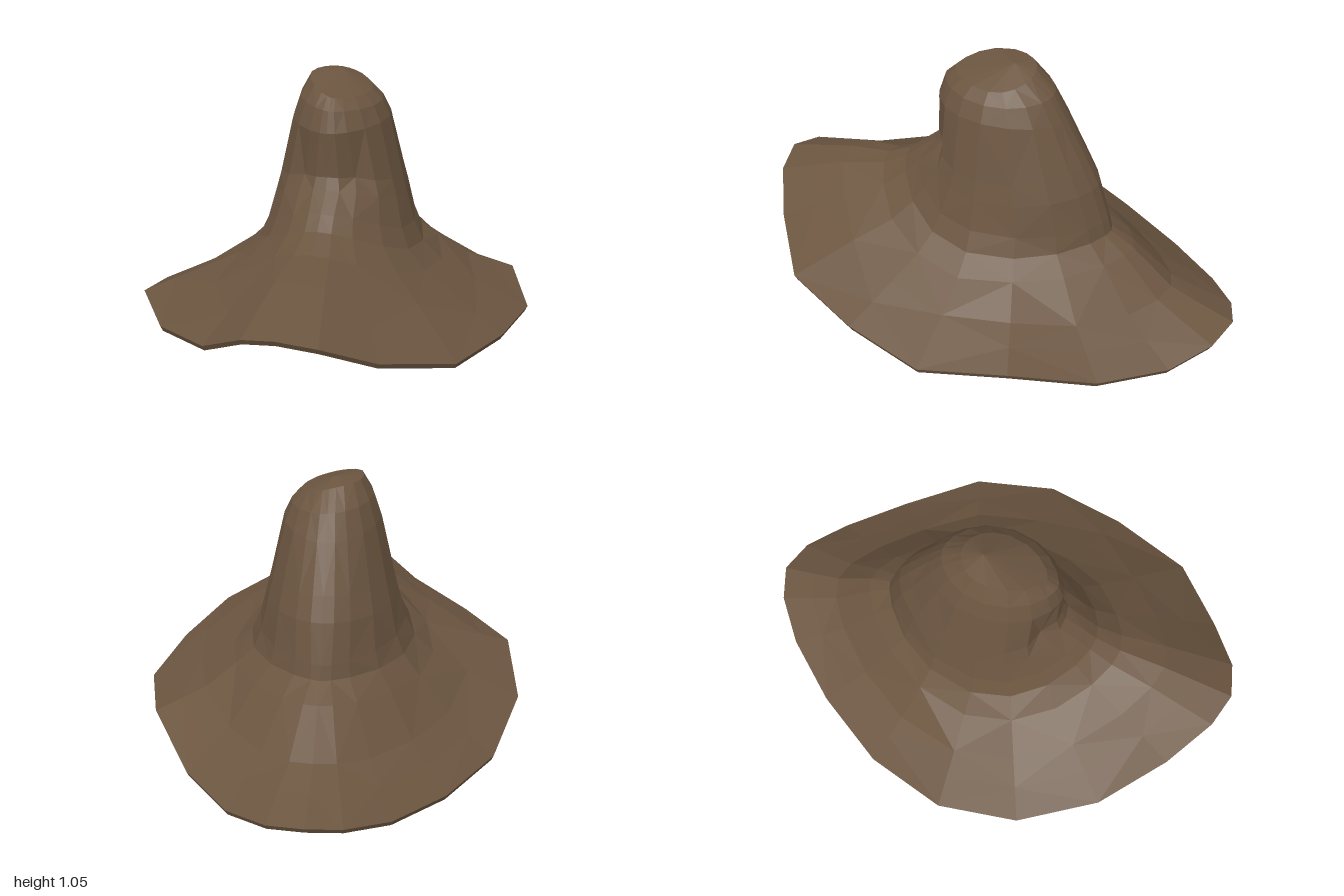
import * as THREE from 'three';

// Brim edge, counter-clockwise from the front centre: x, y, z
const RIM = [
  [0, .387, 1], [.14, .358, .97], [.32, .268, .86], [.56, .192, .66], [.69, .155, .33],
  [.76, .125, 0], [.67, .15, -.33], [.49, .065, -.62], [.30, .055, -.84], [.14, .09, -.96],
  [0, .112, -1], [-.13, .09, -.96], [-.29, .05, -.84], [-.48, .022, -.62], [-.66, .022, -.33],
  [-.765, .1, .01], [-.73, .193, .34], [-.55, .198, .63], [-.31, .252, .84], [-.13, .358, .96],
];
const N = RIM.length;
const QUARTER = [0, 12, 26, 46, 67];
const ANGLES = [0, 1, 2, 3].flatMap((q) => QUARTER.map((_, i) => {
  const d = q % 2 === 0 ? QUARTER[i] : (i === 0 ? 0 : 90 - QUARTER[5 - i]);
  return THREE.MathUtils.degToRad(q * 90 + d);
}));

// Crown rings from foot to top: half width, front z, back z, y at front, side, back,
// sideways lean, pointedness at front and back
const CROWN = [
  [.332, .415, .475, .54, .37, .395, 0, 1.2, 1.4],
  [.295, .36, .46, .59, .45, .45, 0, 1.15, 1.3],
  [.263, .28, .41, .655, .57, .60, 0, 1.05, 1.15],
  [.243, .26, .365, .70, .65, .69, 0, 1.1, 1.15],
  [.19, .26, .27, .87, .88, .86, 0, 1.2, 1.1],
  [.16, .235, .215, .95, .955, .955, .08, 1.3, 1.1],
  [.12, .19, .135, .99, 1.01, 1.025, .24, 1.3, 1],
];
const PANEL = 3; // ring along the foot of the front dent

function crownRing([w, front, back, yFront, ySide, yBack, lean, pointF, pointB], ring) {
  return ANGLES.map((a, j) => {
    const s = Math.sin(a), c = Math.cos(a);
    const x = Math.sign(s) * w * Math.abs(s) ** (c > 0 ? pointF : pointB);
    const y = ySide + ((c > 0 ? yFront : yBack) - ySide) * c * c;
    const dent = ring === PANEL && (j === 2 || j === N - 2) ? .025 : 0;
    return [x, y - x * lean, c * (c > 0 ? front : back) - dent];
  });
}

// Ring between rim and crown foot, sagging by its own amount at front, side and back
function brimRing(rim, foot, t, sagFront, sagSide, sagBack) {
  return rim.map((p, j) => {
    const q = p.map((v, k) => v + (foot[j][k] - v) * t);
    const c = Math.cos(ANGLES[j]);
    q[1] -= THREE.MathUtils.lerp(sagSide, c > 0 ? sagFront : sagBack, Math.abs(c));
    return q;
  });
}

// Skin consecutive rings; flip turns the faces inwards
function skin(rings, flip = false) {
  const index = [];
  for (let i = 0; i < rings.length - 1; i++) {
    for (let j = 0; j < N; j++) {
      const a = i * N + j, b = i * N + (j + 1) % N;
      const faces = (j + i) % 2
        ? [[a, b, b + N], [a, b + N, a + N]]
        : [[a, b, a + N], [b, b + N, a + N]];
      faces.forEach(([p, q, r]) => index.push(...(flip ? [p, r, q] : [p, q, r])));
    }
  }
  const indexed = new THREE.BufferGeometry();
  indexed.setAttribute('position', new THREE.Float32BufferAttribute(rings.flat(2), 3));
  indexed.setIndex(index);
  const geometry = indexed.toNonIndexed();
  geometry.computeVertexNormals();
  return geometry;
}

const inset = (ring, scale, drop) => ring.map(([x, y, z]) => [x * scale, y - drop, z * scale]);

export function createModel() {
  const felt = new THREE.MeshStandardMaterial({ color: 0x6b5540, flatShading: true });
  felt.name = 'brown felt';
  const hat = new THREE.Group();
  hat.name = 'hat';
  const add = (name, geometry) => {
    const mesh = new THREE.Mesh(geometry, felt);
    mesh.name = name;
    hat.add(mesh);
  };

  const crown = CROWN.map(crownRing);
  const tip = RIM.map(() => [-.01, 1.048, -.05]);
  const brim = [
    RIM,
    brimRing(RIM, crown[0], .27, 0, .015, .03),
    brimRing(RIM, crown[0], .5, 0, .027, .05),
    brimRing(RIM, crown[0], .82, .022, .028, 0),
    crown[0],
  ];
  add('brim', skin(brim));
  add('crown', skin([...crown, tip]));

  // Thin edge and the hollow underside
  const under = brim.map((r, i) => inset(r, .988 - i * .014, i === 0 ? .022 : .026));
  add('brimEdge', skin([under[0], RIM]));
  add('brimUnderside', skin(under, true));
  const lining = crown.map((r) => inset(r, .932, .026));
  add('crownLining', skin([...lining, inset(tip, 1, .026)], true));
  return hat;
}
